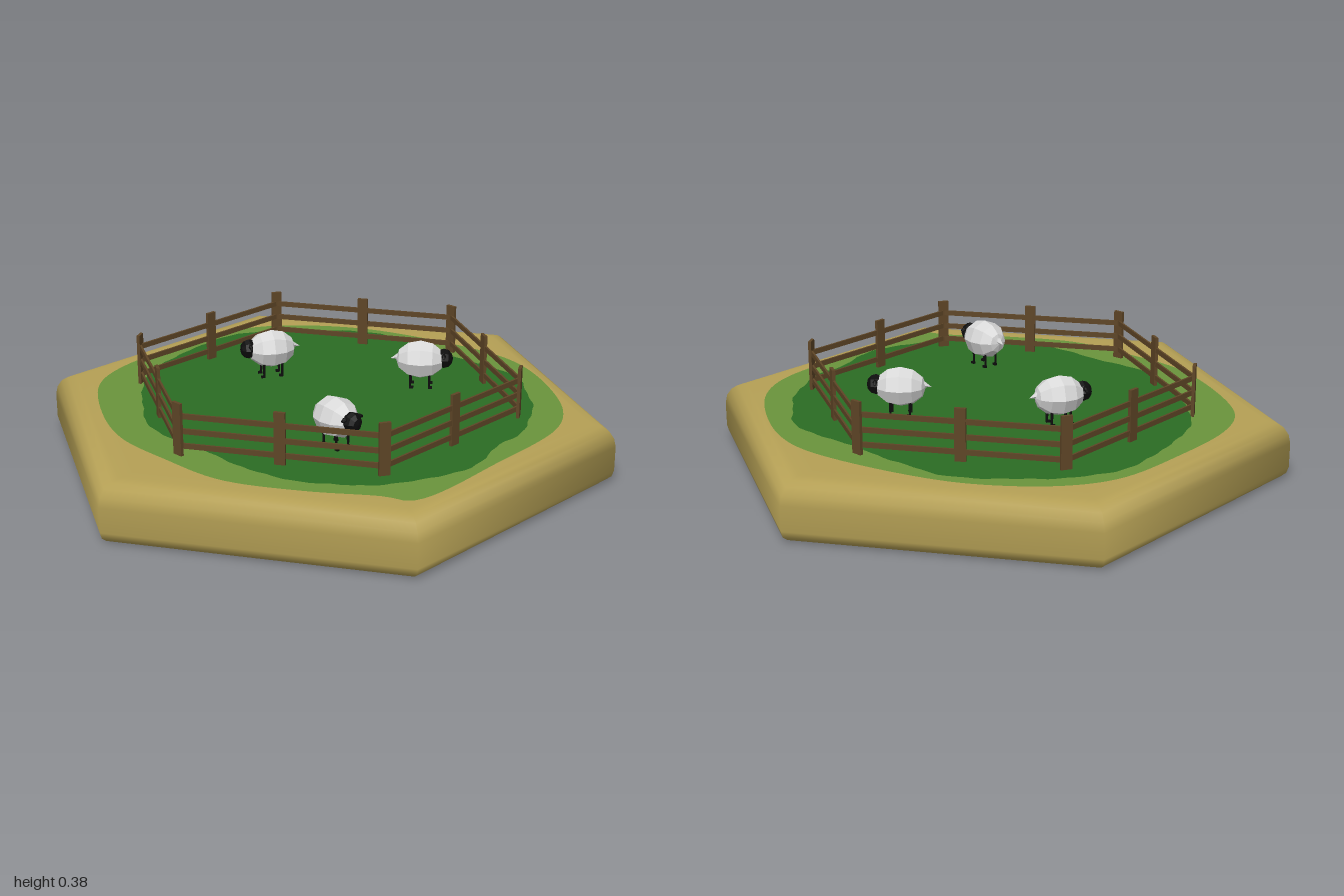
import * as THREE from 'three';

const mat = (name, color, extra = {}) => {
  const m = new THREE.MeshStandardMaterial({ color, ...extra });
  m.name = name;
  return m;
};

export function createModel() {
  const sand = mat('sand', 0xb5a055);
  const lightGrass = mat('light grass', 0x6a943c);
  const darkGrass = mat('dark grass', 0x2b6c23);
  const wood = mat('wood', 0x5e4526);
  const wool = mat('wool', 0xd8d8d8, { flatShading: true });
  const black = mat('black skin', 0x0c0c0c, { flatShading: true });

  const root = new THREE.Group();
  root.name = 'sheepPasture';
  const add = (parent, name, geo, material, x = 0, y = 0, z = 0) => {
    const mesh = new THREE.Mesh(geo, material);
    mesh.name = name;
    mesh.position.set(x, y, z);
    parent.add(mesh);
    return mesh;
  };

  // Hexagonal base: rounded top rim, small bevel underneath
  const profile = [
    [0, 0], [0.94, 0], [0.975, 0.004], [0.993, 0.018], [1, 0.04], [1, 0.125],
    [0.993, 0.155], [0.975, 0.18], [0.95, 0.195], [0.915, 0.2], [0.86, 0.2], [0, 0.2],
  ].map(([r, y]) => new THREE.Vector2(r, y));
  add(root, 'base', new THREE.LatheGeometry(profile, 6), sand);

  // Painted grass patches: closed curve through outline points (x, z), with a ragged edge
  const patch = (name, pts, y, ragged, material) => {
    const curve = new THREE.CatmullRomCurve3(
      pts.map(([x, z]) => new THREE.Vector3(x, -z, 0)), true, 'centripetal');
    const outline = curve.getSpacedPoints(140).slice(0, -1).map((p, i) => {
      const k = 1 + ragged * (Math.sin(i * 1.9) + Math.sin(i * 0.83 + 1));
      return new THREE.Vector2(p.x * k, p.y * k);
    });
    const geo = new THREE.ShapeGeometry(new THREE.Shape(outline));
    geo.rotateX(-Math.PI / 2);
    add(root, name, geo, material, 0, y, 0);
  };
  patch('outerGrass', [
    [0.14, -0.76], [0.3, -0.73], [0.5, -0.62], [0.66, -0.48], [0.74, -0.33], [0.77, 0],
    [0.765, 0.41], [0.68, 0.45], [0.48, 0.59], [0.24, 0.71], [0, 0.725], [-0.24, 0.71],
    [-0.48, 0.6], [-0.68, 0.44], [-0.75, 0.28], [-0.77, 0], [-0.75, -0.28], [-0.66, -0.44],
    [-0.45, -0.61], [-0.22, -0.7],
  ], 0.2015, 0, lightGrass);
  patch('innerGrass', [
    [-0.34, -0.62], [-0.18, -0.64], [0.1, -0.635], [0.32, -0.635], [0.48, -0.52], [0.59, -0.4],
    [0.68, -0.21], [0.69, -0.08], [0.74, 0.1], [0.71, 0.21], [0.64, 0.37], [0.48, 0.52],
    [0.3, 0.59], [0, 0.595], [-0.18, 0.6], [-0.29, 0.56], [-0.44, 0.45], [-0.6, 0.3],
    [-0.67, 0.16], [-0.69, 0.06], [-0.72, -0.16], [-0.68, -0.31], [-0.55, -0.47],
  ], 0.203, 0.004, darkGrass);

  // Fence: six sides, a post at each corner and each middle, three rails
  const fence = new THREE.Group();
  fence.name = 'fence';
  root.add(fence);
  const R = 0.67, apothem = R * Math.cos(Math.PI / 6);
  const postGeo = new THREE.BoxGeometry(0.037, 0.18, 0.011);
  const railGeo = new THREE.BoxGeometry(R, 0.018, 0.007);
  for (let i = 0; i < 6; i++) {
    const corner = i * Math.PI / 3, mid = corner + Math.PI / 6;
    for (const [name, a, r] of [['cornerPost', corner, R], ['middlePost', mid, apothem]]) {
      add(fence, name, postGeo, wood, Math.sin(a) * r, 0.29, Math.cos(a) * r).rotation.y = a;
    }
    for (const y of [0.234, 0.284, 0.335]) {
      add(fence, 'rail', railGeo, wood,
        Math.sin(mid) * apothem, y, Math.cos(mid) * apothem).rotation.y = mid;
    }
  }

  // Sheep: faceted woolly body along local x, head at +x
  const bodyGeo = new THREE.SphereGeometry(1, 8, 6).rotateZ(-Math.PI / 2).scale(0.086, 0.069, 0.069);
  const headGeo = new THREE.SphereGeometry(1, 8, 6).rotateZ(-Math.PI / 2).scale(0.032, 0.036, 0.033);
  const earGeo = new THREE.SphereGeometry(1, 6, 4).scale(0.008, 0.007, 0.016);
  const tailGeo = new THREE.ConeGeometry(0.014, 0.035, 6).rotateZ(Math.PI / 2 + 0.3);
  const legGeo = new THREE.CylinderGeometry(0.005, 0.004, 0.06, 6);
  const hoofGeo = new THREE.BoxGeometry(0.014, 0.008, 0.009);
  const flock = [[0.155, -0.32, 0.78, -0.62], [-0.3, -0.035, -0.5, 0.87], [0.31, 0.27, 0.99, 0.13]];
  for (const [x, z, dx, dz] of flock) {
    const sheep = new THREE.Group();
    sheep.name = 'sheep';
    sheep.position.set(x, 0.203, z);
    sheep.rotation.y = Math.atan2(-dz, dx);
    root.add(sheep);
    add(sheep, 'body', bodyGeo, wool, 0, 0.1, 0);
    add(sheep, 'head', headGeo, black, 0.082, 0.106, 0);
    add(sheep, 'tail', tailGeo, wool, -0.088, 0.105, 0);
    for (const side of [-1, 1]) {
      add(sheep, 'ear', earGeo, black, 0.082, 0.122, side * 0.03).rotation.x = side * 0.4;
      for (const lx of [-0.033, 0.033]) {
        add(sheep, 'leg', legGeo, black, lx, 0.03, side * 0.024);
        add(sheep, 'hoof', hoofGeo, black, lx + 0.004, 0.004, side * 0.024);
      }
    }
  }
  return root;
}
